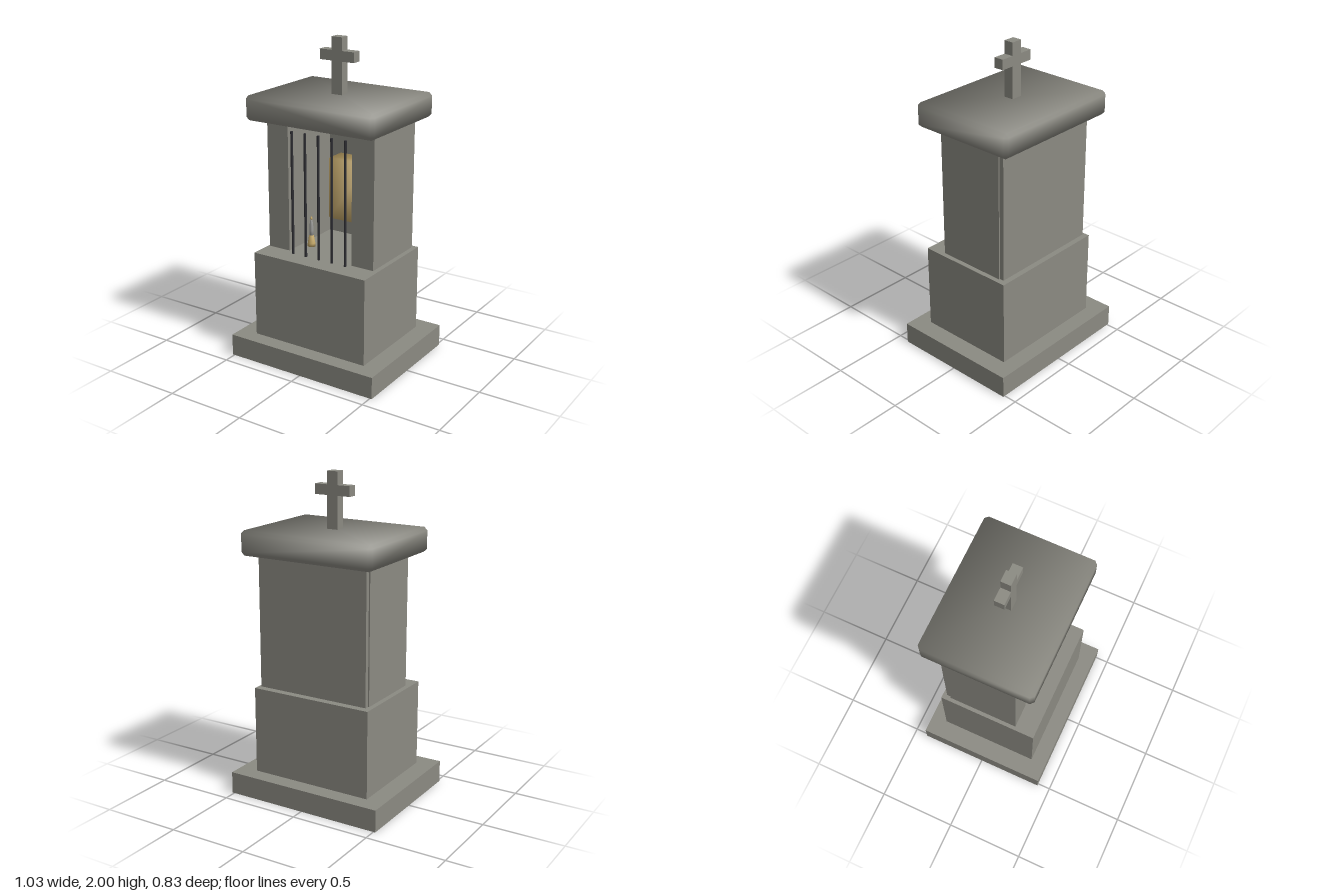
import * as THREE from 'three';
import { ConvexGeometry } from 'three/addons/geometries/ConvexGeometry.js';

export function createModel() {
  const group = new THREE.Group();
  const material = (name, color) => {
    const m = new THREE.MeshStandardMaterial({ color });
    m.name = name;
    return m;
  };
  const stone = material('stone', 0x8b8a82);
  const gold = material('gold', 0xc4a869);
  const iron = material('iron', 0x303035);
  const silver = material('silver', 0x9a9a98);

  const add = (name, geometry, mat, x = 0, y = 0, z = 0) => {
    const mesh = new THREE.Mesh(geometry, mat);
    mesh.name = name;
    mesh.position.set(x, y, z);
    group.add(mesh);
    return mesh;
  };

  // Box given by its limits on each axis
  const block = (name, mat, [x0, x1], [y0, y1], [z0, z1]) =>
    add(name, new THREE.BoxGeometry(x1 - x0, y1 - y0, z1 - z0), mat,
      (x0 + x1) / 2, (y0 + y1) / 2, (z0 + z1) / 2);

  // Chamfered box with soft, pillow-like normals
  const pillow = (w, h, d, c) => {
    const half = [w / 2, h / 2, d / 2];
    const points = [];
    for (const sx of [-1, 1]) for (const sy of [-1, 1]) for (const sz of [-1, 1]) {
      const s = [sx, sy, sz];
      for (let axis = 0; axis < 3; axis++) {
        points.push(new THREE.Vector3(...s.map((v, i) => v * (half[i] - (i === axis ? 0 : c)))));
      }
    }
    const geometry = new ConvexGeometry(points);
    const p = geometry.attributes.position;
    const n = geometry.attributes.normal;
    const k = 1 / Math.sqrt(3);
    for (let i = 0; i < p.count; i++) {
      n.setXYZ(i, Math.sign(p.getX(i)) * k, Math.sign(p.getY(i)) * k, Math.sign(p.getZ(i)) * k);
    }
    return geometry;
  };

  // Stepped base
  block('baseSlab', stone, [-0.513, 0.513], [0, 0.138], [-0.417, 0.417]);
  block('plinth', stone, [-0.396, 0.396], [0.138, 0.684], [-0.315, 0.318]);

  // Niche walls
  for (const side of [-1, 1]) {
    block('sideWall', stone, side < 0 ? [-0.375, -0.225] : [0.225, 0.375], [0.692, 1.52], [-0.26, 0.188]);
  }
  block('backWall', stone, [-0.367, 0.367], [0.692, 1.52], [-0.288, -0.26]);

  // Roof
  add('roof', pillow(0.882, 0.15, 0.695, 0.02), stone, 0, 1.586, -0.027);

  // Cross
  block('crossPost', stone, [-0.036, 0.036], [1.655, 2], [-0.057, 0.004]);
  for (const side of [-1, 1]) {
    block('crossArm', stone, side < 0 ? [-0.118, -0.036] : [0.036, 0.118], [1.859, 1.921], [-0.057, 0.004]);
  }

  // Gilded box inside the niche
  add('shrineBox', pillow(0.286, 0.396, 0.14, 0.008), gold, 0, 1.027, -0.19);

  // Grille
  for (let i = -2; i <= 2; i++) {
    add('grilleBar', new THREE.CylinderGeometry(0.008, 0.008, 0.772, 8), iron, i * 0.094, 1.069, 0.2);
  }

  // Small candlesticks
  const lathe = (points) =>
    new THREE.LatheGeometry(points.map(([r, y]) => new THREE.Vector2(r, y)), 16);
  for (const x of [-0.17, 0.17]) {
    add('candleFoot', lathe([[0, 0], [0.026, 0], [0.024, 0.02], [0.015, 0.07], [0, 0.075]]), gold, x, 0.684, 0.03);
    add('candleStem', lathe([[0, 0], [0.012, 0], [0.013, 0.03], [0.011, 0.07], [0.006, 0.1], [0, 0.1]]), silver, x, 0.756, 0.03);
    add('candleTip', lathe([[0, 0], [0.007, 0.006], [0.007, 0.014], [0, 0.026]]), gold, x, 0.854, 0.03);
  }

  return group;
}
